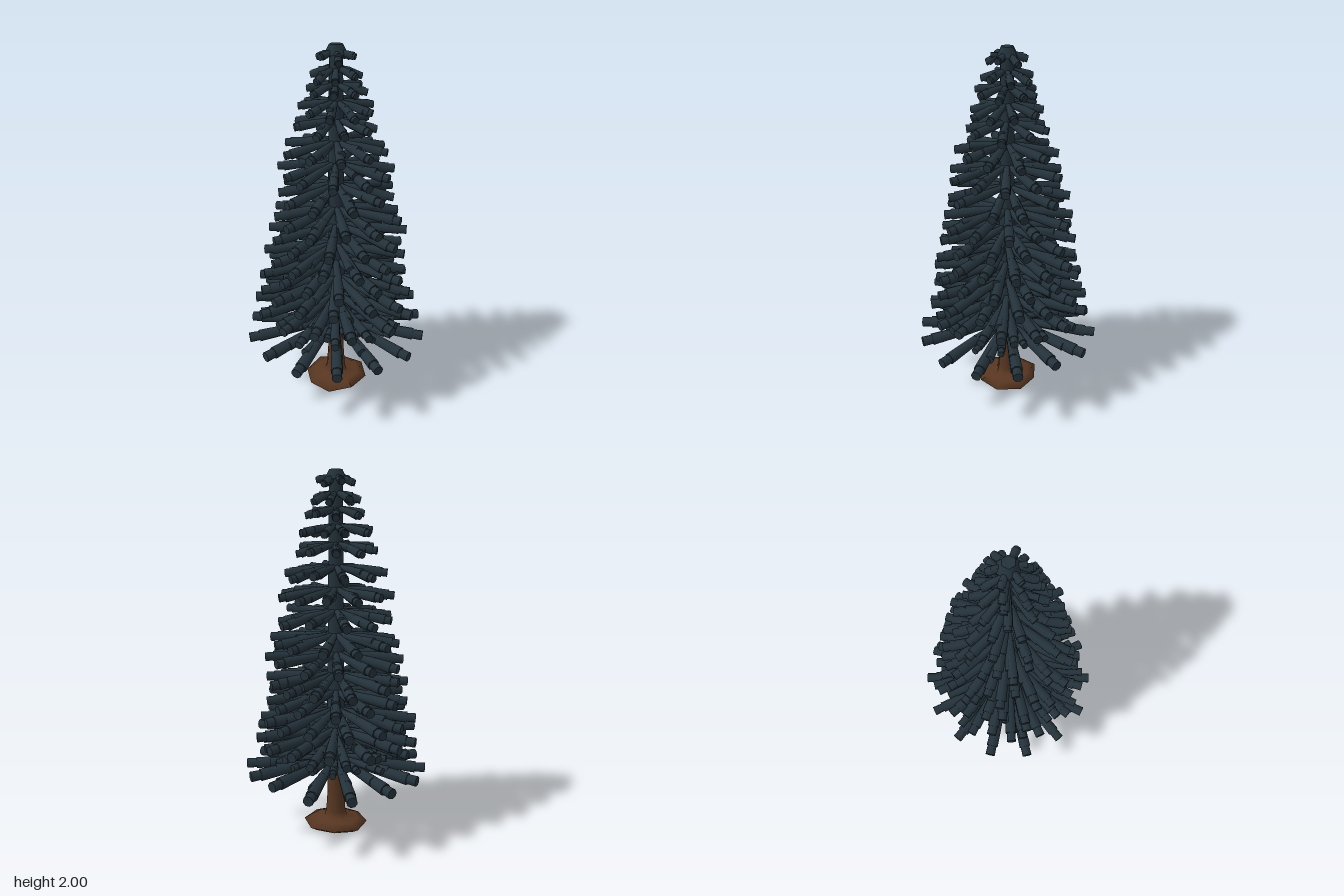
import * as THREE from 'three';

const needles = new THREE.MeshStandardMaterial({ color: 0x24323b });
needles.name = 'darkNeedles';
const bark = new THREE.MeshStandardMaterial({ color: 0x573621 });
bark.name = 'brownBark';

// Small seeded generator, returns values in -1..1
let seed = 7;
function jitter() {
  seed = (seed * 16807) % 2147483647;
  return (seed / 2147483647) * 2 - 1;
}

// Tapered round limb between two points
function limb(name, from, to, r0, r1) {
  const dir = to.clone().sub(from);
  const geo = new THREE.CylinderGeometry(r1, r0, dir.length(), 8, 1);
  const mesh = new THREE.Mesh(geo, needles);
  mesh.name = name;
  mesh.position.copy(from).add(to).multiplyScalar(0.5);
  mesh.quaternion.setFromUnitVectors(new THREE.Vector3(0, 1, 0), dir.normalize());
  return mesh;
}

// One branch: a club that widens outward, a narrower tip and a short overlapping twig
function branch(angle, y, length, r, rise) {
  const g = new THREE.Group();
  g.name = 'branch';
  const at = (t, dy, turn = 0) => new THREE.Vector3(
    Math.cos(angle + turn) * length * t, y + dy, Math.sin(angle + turn) * length * t);
  const drop = 0.012 + 0.012 * jitter();
  const elbow = at(0.5, rise * 0.5 + 0.006);
  const end = at(0.89, rise - drop);
  g.add(limb('innerBranch', at(0.03, 0.022), elbow, r * 0.5, r * 0.82));
  g.add(limb('outerBranch', at(0.46, rise * 0.46 + 0.008), end, r * 0.8, r));
  g.add(limb('branchTip', at(0.8, rise * 0.9 - drop * 0.8),
    at(1, rise - drop - 0.003), r * 0.75, r * 0.84));
  g.add(limb('twig', at(0.08, 0.015),
    at(0.7 + 0.08 * jitter(), rise * 0.7 + 0.012 * jitter(), 0.07 * jitter()), r * 0.4, r * 0.78));
  return g;
}

export function createModel() {
  const tree = new THREE.Group();
  tree.name = 'conifer';

  // Trunk with a flared, eight-sided foot
  const profile = [[0, 0.005], [0.14, 0.005], [0.18, 0.03], [0.13, 0.05],
    [0.066, 0.06], [0.055, 0.1], [0.047, 0.22], [0.046, 0.4]]
    .map(([x, y]) => new THREE.Vector2(x, y));
  const trunkGeo = new THREE.LatheGeometry(profile, 8);
  const pos = trunkGeo.attributes.position;
  for (let i = 0; i < pos.count; i++) {
    // Uneven outline on the foot only
    const x = pos.getX(i), z = pos.getZ(i), y = pos.getY(i);
    if (y < 0.055) {
      const k = 1 + 0.05 * Math.sin(3 * Math.atan2(z, x) + 0.6);
      pos.setX(i, x * k);
      pos.setZ(i, z * k);
    }
    pos.setY(i, y === 0.005 || y > 0.055 ? Math.max(0, y - 0.005) : y + x * 0.03);
  }
  trunkGeo.computeVertexNormals();
  const trunk = new THREE.Mesh(trunkGeo, bark);
  trunk.name = 'trunk';
  tree.add(trunk);

  // Dark stem running through the foliage
  const stem = new THREE.Mesh(new THREE.CylinderGeometry(0.036, 0.052, 1.6, 8), needles);
  stem.name = 'stem';
  stem.position.y = 1.16;
  tree.add(stem);

  // Tiers: height, reach, branch count
  const tiers = [[0.385, 0.505, 14], [0.565, 0.465, 14], [0.68, 0.44, 14], [0.785, 0.41, 13],
    [0.885, 0.4, 13], [1.0, 0.39, 12], [1.105, 0.365, 12], [1.235, 0.335, 11], [1.355, 0.315, 11],
    [1.475, 0.28, 10], [1.595, 0.23, 9], [1.69, 0.2, 9], [1.78, 0.165, 8], [1.86, 0.135, 7],
    [1.945, 0.105, 6]];
  tiers.forEach(([y, reach, count], t) => {
    const tier = new THREE.Group();
    tier.name = 'branchTier';
    const step = (Math.PI * 2) / count;
    const r = 0.018 + 0.032 * reach;
    for (let i = 0; i < count; i++) {
      const angle = -0.12 + (i + (t % 2) * 0.5) * step + (t > 0 ? 0.05 * jitter() : 0);
      const length = t === 0 ? reach * (0.995 + 0.01 * jitter()) : reach * (0.96 + 0.05 * jitter());
      tier.add(branch(angle, y, length, r, 0.015 * jitter() * (0.5 + reach)));
    }
    tree.add(tier);
  });

  // Short raised and lowered shoots filling the two broad lowest tiers
  for (let i = 0; i < 14; i++) {
    const a = 0.1 + (i * Math.PI) / 7;
    tree.add(branch(a, 0.405, 0.29 + 0.08 * jitter(), 0.023, 0.025 + 0.02 * jitter()));
    tree.add(branch(a + 0.25, 0.53, 0.42 + 0.03 * jitter(), 0.028, 0.01 * jitter()));
  }

  // Rounded crown
  const crown = new THREE.Mesh(new THREE.CylinderGeometry(0.034, 0.06, 0.05, 6), needles);
  crown.name = 'crown';
  crown.position.y = 1.975;
  tree.add(crown);

  return tree;
}
